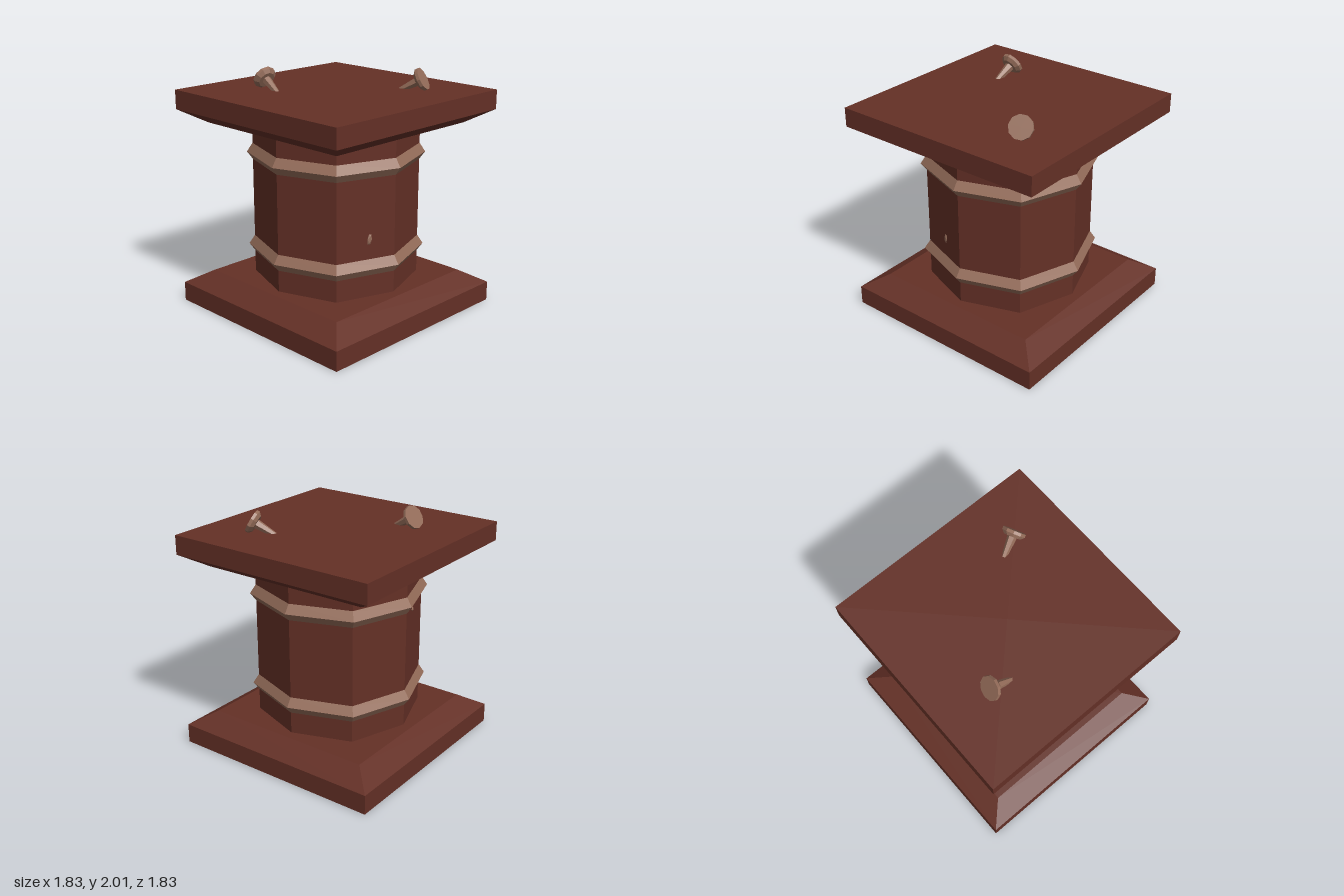
import * as THREE from 'three';

const brick = new THREE.MeshStandardMaterial({ name: 'redBrown', color: 0x643026, side: THREE.DoubleSide, flatShading: true });
const tan = new THREE.MeshStandardMaterial({ name: 'paleBrown', color: 0x946c59, side: THREE.DoubleSide, flatShading: true });

function addMesh(parent, name, geometry, material) {
  const mesh = new THREE.Mesh(geometry, material);
  mesh.name = name;
  parent.add(mesh);
  return mesh;
}

// Square profile: each point is [half width, y]
function square(profile) {
  const points = profile.map(([w, y]) => new THREE.Vector2(w * Math.SQRT2, y));
  return new THREE.LatheGeometry(points, 4, Math.PI / 4);
}

// Octagonal profile with the diagonal corners pushed out slightly
function octagon(profile) {
  const geometry = new THREE.LatheGeometry(profile.map(([r, y]) => new THREE.Vector2(r, y)), 8);
  const p = geometry.attributes.position;
  for (let i = 0; i < p.count; i++) {
    const x = p.getX(i), z = p.getZ(i);
    if (Math.abs(x) > 0.1 && Math.abs(z) > 0.1) p.setXYZ(i, x * 1.045, p.getY(i), z * 1.045);
  }
  return geometry;
}

// Bent nail: a broad faceted head on a tapering shank, facing along outward
function nail(name, centre, outward) {
  const group = new THREE.Group();
  group.name = name;
  addMesh(group, 'nailHead', new THREE.CylinderGeometry(0.097, 0.097, 0.025, 10).translate(0, 0.008, 0), tan);
  addMesh(group, 'nailHeadBevel', new THREE.CylinderGeometry(0.097, 0.07, 0.025, 10).translate(0, -0.017, 0), tan);
  addMesh(group, 'nailShank', new THREE.CylinderGeometry(0.04, 0.02, 0.19, 6).translate(0, -0.115, 0), tan);
  group.position.set(...centre);
  group.quaternion.setFromUnitVectors(new THREE.Vector3(0, 1, 0), new THREE.Vector3(...outward).normalize());
  return group;
}

export function createModel() {
  const model = new THREE.Group();
  model.name = 'pedestal';

  // Plinth, open underneath, and solid-topped slab
  addMesh(model, 'plinth', square([[0.913, 0], [0.913, 0.163], [0.73, 0.275], [0.45, 0.275]]), brick);
  addMesh(model, 'topSlab', square([[0.45, 1.56], [0.73, 1.56], [0.913, 1.67], [0.913, 1.83], [0, 1.83]]), brick);

  // Hollow eight-sided shaft
  addMesh(model, 'shaft', octagon([[0.652, 0.27], [0.652, 1.57]]), brick);

  // Two raised bands with a diamond section
  for (const [name, y] of [['lowerBand', 0.518], ['upperBand', 1.317]]) {
    addMesh(model, name, octagon([
      [0.61, y], [0.652, y - 0.063], [0.698, y], [0.652, y + 0.073], [0.61, y],
    ]), tan);
  }

  // Nails standing in the slab
  model.add(nail('backNail', [-0.355, 1.913, -0.455], [0.1, 0.5, -0.86]));
  model.add(nail('frontNail', [0.483, 1.91, 0.48], [0.36, 0.48, 0.8]));

  // Nail tips just breaking through the shaft
  for (const [x, y, z, size] of [[-0.21, 0.755, 0.576, 0.05], [-0.18, 1.222, -0.587, 0.02]]) {
    const tip = addMesh(model, 'nailTip', new THREE.IcosahedronGeometry(1, 0), tan);
    tip.scale.set(0.022, size, 0.012);
    tip.position.set(x, y, z);
    tip.rotation.set(0, -0.34 * Math.sign(z), -0.15);
  }
  return model;
}
